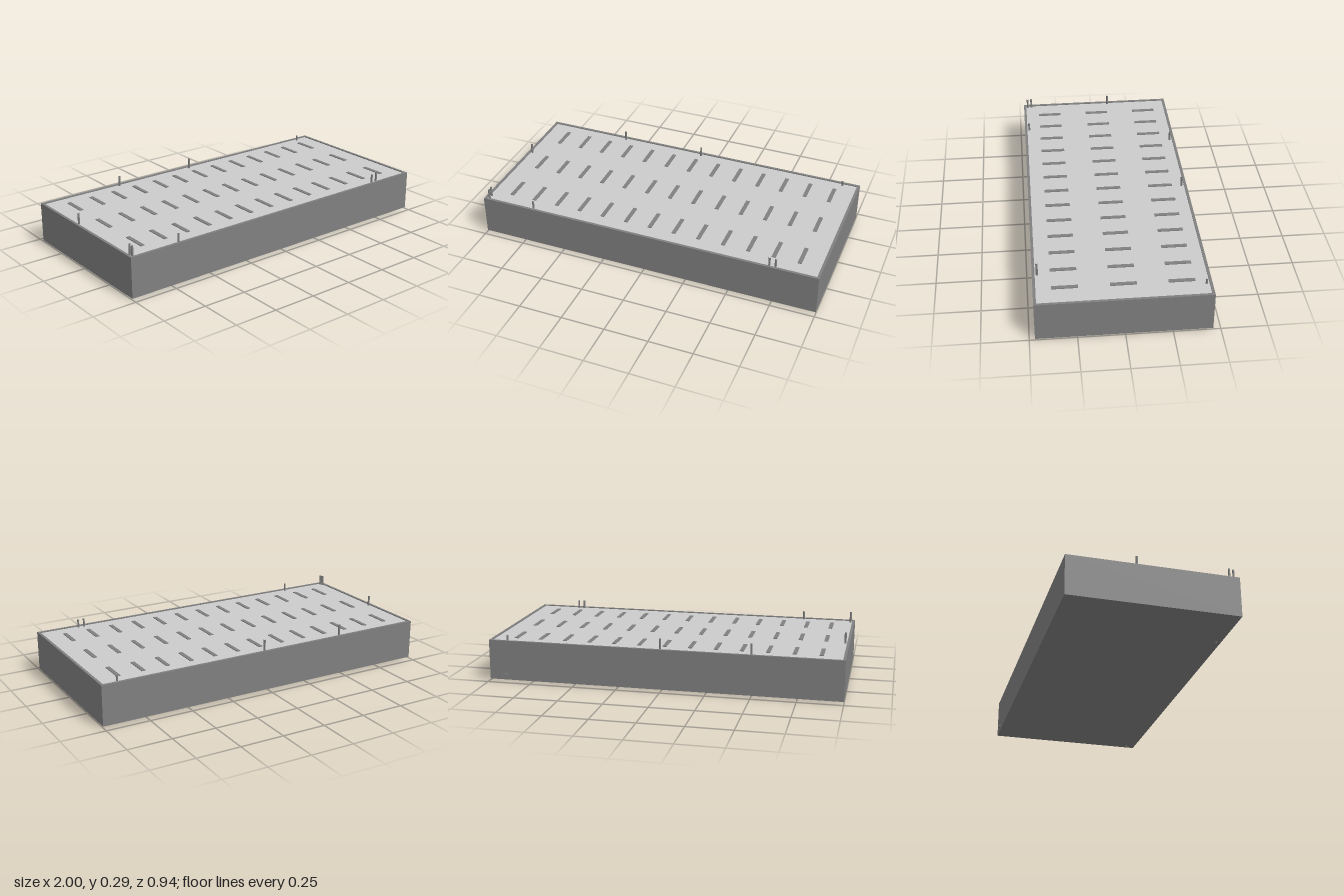
import * as THREE from 'three';

const dark = new THREE.MeshStandardMaterial({ color: 0x808080 });
const light = new THREE.MeshStandardMaterial({ color: 0xcccccc });

const BOTTOM = 0.007, TOP = 0.235, DECK = 0.23;
const BACK = -0.46, FRONT = 0.47, RIM = 0.015;

export function createModel() {
  const model = new THREE.Group();

  const add = (parent, name, geometry, material, x, y, z) => {
    const mesh = new THREE.Mesh(geometry, material);
    mesh.name = name;
    mesh.position.set(x, y, z);
    parent.add(mesh);
    return mesh;
  };

  // Outer casing: four walls around an open top, closed by a floor
  const rect = (Kind, inset) => new Kind([
    new THREE.Vector2(-1 + inset, -FRONT + inset),
    new THREE.Vector2(1 - inset, -FRONT + inset),
    new THREE.Vector2(1 - inset, -BACK - inset),
    new THREE.Vector2(-1 + inset, -BACK - inset),
  ]);
  const outline = rect(THREE.Shape, 0);
  outline.holes.push(rect(THREE.Path, RIM));
  const walls = new THREE.ExtrudeGeometry(outline, { depth: TOP - BOTTOM, bevelEnabled: false });
  walls.rotateX(-Math.PI / 2);
  add(model, 'casing', walls, dark, 0, BOTTOM, 0);

  const midZ = (FRONT + BACK) / 2;
  const innerW = 2 - 2 * RIM, innerD = FRONT - BACK - 2 * RIM;
  add(model, 'floor', new THREE.BoxGeometry(innerW, 0.01, innerD), dark, 0, BOTTOM + 0.005, midZ);

  // Light panel set just below the rim
  add(model, 'topPanel', new THREE.BoxGeometry(innerW, 0.01, innerD), light, 0, DECK - 0.005, midZ);

  // Three rows of thirteen bars in the panel
  const bars = new THREE.Group();
  bars.name = 'bars';
  model.add(bars);
  const barGeometry = new THREE.BoxGeometry(0.022, 0.012, 0.14);
  for (const z of [-0.305, 0, 0.305]) {
    for (let i = -6; i <= 6; i++) add(bars, 'bar', barGeometry, dark, i * 0.1445, DECK - 0.002, z);
  }

  // Thin open tubes standing along the rim: x, z, bottom, top
  const pins = new THREE.Group();
  pins.name = 'pins';
  model.add(pins);
  const tube = (length) => new THREE.CylinderGeometry(0.006, 0.006, length, 8, 1, true);
  for (const [x, z, y0, y1] of [
    [-0.975, 0.445, 0.2, 0.29],
    [-0.975, 0.422, 0.2, 0.293],
    [-0.975, -0.08, 0.2, 0.293],
    [-0.69, 0.443, 0, 0.28],
    [-0.495, -0.43, 0.2, 0.293],
    [0.01, -0.43, 0.2, 0.293],
    [0.72, 0.443, 0.2, 0.28],
    [0.755, 0.443, 0.2, 0.28],
    [0.9, -0.43, 0.2, 0.263],
    [0.97, 0.417, 0, 0.1],
  ]) add(pins, 'pin', tube(y1 - y0), dark, x, (y0 + y1) / 2, z);

  // Short outlet low on the back wall
  const outlet = new THREE.CylinderGeometry(0.007, 0.007, 0.03, 8);
  outlet.rotateX(Math.PI / 2);
  outlet.scale(1.8, 1, 1);
  add(model, 'backOutlet', outlet, dark, 0.905, 0.037, BACK + 0.005);

  return model;
}
